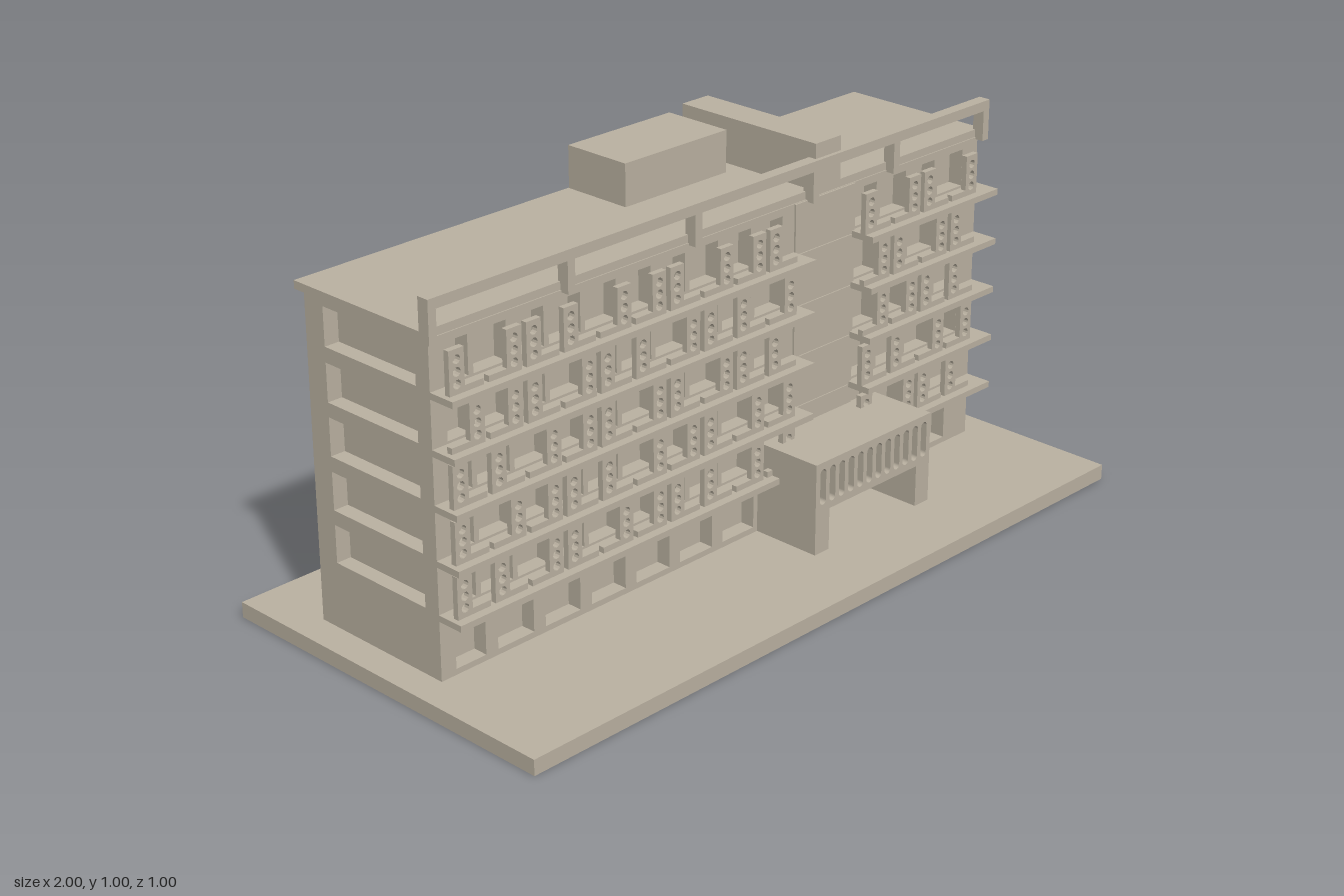
import * as THREE from 'three';

const stone = new THREE.MeshStandardMaterial({ color: 0xbab1a1 });
stone.name = 'warm grey stone';

// Closed rectangle path from two corners
function rect(Type, x0, y0, x1, y1) {
  const p = new Type();
  p.moveTo(x0, y0);
  p.lineTo(x1, y0);
  p.lineTo(x1, y1);
  p.lineTo(x0, y1);
  p.closePath();
  return p;
}

// Upright slot with rounded ends
function slot(cx, y0, y1, r) {
  const p = new THREE.Path();
  p.absarc(cx, y1 - r, r, 0, Math.PI, false);
  p.absarc(cx, y0 + r, r, Math.PI, Math.PI * 2, false);
  p.closePath();
  return p;
}

function extrude(shape, depth, curveSegments = 8) {
  return new THREE.ExtrudeGeometry(shape, { depth, bevelEnabled: false, curveSegments });
}

export function createModel() {
  const model = new THREE.Group();
  model.name = 'apartmentBlock';

  function add(name, geometry, x = 0, y = 0, z = 0) {
    const mesh = new THREE.Mesh(geometry, stone);
    mesh.name = name;
    mesh.position.set(x, y, z);
    model.add(mesh);
    return mesh;
  }
  // Box given by its extents
  function box(name, x0, x1, y0, y1, z0, z1) {
    return add(name, new THREE.BoxGeometry(x1 - x0, y1 - y0, z1 - z0),
      (x0 + x1) / 2, (y0 + y1) / 2, (z0 + z1) / 2);
  }

  const left = -0.92, right = 0.915, front = 0.115, back = -0.298;
  const ground = 0.04, eaves = 0.862, recess = 0.04;
  const floors = [0.74, 0.606, 0.474, 0.34, 0.207];
  const bayWidth = 0.096, pitch = 0.1105;

  // Bay start positions on both sides of the stair panel
  const bays = [];
  for (let i = 0; i < 10; i++) bays.push(-0.907 + i * pitch);
  for (let i = 0; i < 4; i++) bays.push(0.76 - (3 - i) * pitch);

  // Ground plate and building core
  box('groundPlate', -1, 1, 0, ground, -0.5, 0.5);
  box('core', left + recess, right, ground, eaves, back, front - recess);

  // Front wall with window recesses
  const facade = rect(THREE.Shape, left + recess, ground, right, eaves);
  for (const y of floors) {
    for (const x of bays) {
      facade.holes.push(rect(THREE.Path, Math.max(x, left + recess + 0.004), y + 0.006, x + bayWidth, y + 0.102));
    }
  }
  for (let i = 0; i < 12; i++) {
    if (i > 6 && i < 10) continue;
    const x = -0.897 + i * 0.1463;
    facade.holes.push(rect(THREE.Path, Math.max(x, left + recess + 0.004), 0.055, x + 0.11, 0.16));
  }
  add('frontWall', extrude(facade, recess), 0, 0, front - recess);

  // Right-hand end wall with long window recesses
  const endWall = rect(THREE.Shape, back, ground, front, eaves);
  for (const y of floors) endWall.holes.push(rect(THREE.Path, -0.235, y + 0.002, 0.07, y + 0.098));
  const endGeometry = extrude(endWall, recess);
  endGeometry.rotateY(-Math.PI / 2);
  add('endWall', endGeometry, left + recess);

  // Balcony slabs
  for (const y of floors) {
    box('balconySlabWest', left, 0.225, y - 0.016, y, front, 0.187);
    box('balconySlabEast', 0.43, right, y - 0.016, y, front, 0.187);
  }

  // Pierced screens, each beside a low kerb; L or R is the screen's side
  const screenShape = rect(THREE.Shape, 0, 0, 0.043, 0.105);
  for (const y of [0.023, 0.052, 0.081]) {
    const hole = new THREE.Path();
    hole.absarc(0.0215, y, 0.011, 0, Math.PI * 2, true);
    screenShape.holes.push(hole);
  }
  const screenGeometry = extrude(screenShape, 0.015, 6);
  const layouts = ['LRLLRRLRRLLRLR', 'RRLRLLRLLRRLRL', 'LLRRLRLRLLRRLL', 'LRRLLRRLRRLLRR', 'LLRLRRLLRRLRLL'];
  floors.forEach((y, row) => {
    bays.forEach((x, i) => {
      const onLeft = layouts[row][i] === 'L';
      add('piercedScreen', screenGeometry, onLeft ? x : x + bayWidth - 0.043, y, 0.149);
      const kerb = onLeft ? x + 0.043 : x;
      box('balconyKerb', kerb, kerb + bayWidth - 0.043, y, y + 0.015, 0.149, 0.164);
    });
  });

  // Plain stair panel, one plate per storey
  const levels = [0.28, 0.332, 0.466, 0.598, 0.732, eaves];
  for (let i = 0; i < 5; i++) {
    box('stairPanel', 0.225, 0.44, levels[i] + 0.001, levels[i + 1] - 0.001, front, front + 0.005);
  }

  // Entrance porch: open gateway with slotted front
  const porch = new THREE.Shape();
  [[0.105, 0.04], [0.155, 0.04], [0.155, 0.15], [0.48, 0.15], [0.48, 0.04], [0.53, 0.04], [0.53, 0.28], [0.105, 0.28]]
    .forEach(([x, y], i) => (i ? porch.lineTo(x, y) : porch.moveTo(x, y)));
  porch.closePath();
  add('porchBody', extrude(porch, 0.17), 0, 0, front);
  const porchFront = porch.clone();
  for (let i = 0; i < 12; i++) porchFront.holes.push(slot(0.1305 + i * 0.0341, 0.168, 0.262, 0.0105));
  add('porchFront', extrude(porchFront, 0.02), 0, 0, 0.285);

  // Roof slab, plant room and stair spine running down the back
  box('roofSlab', -0.935, 0.93, eaves, 0.882, -0.312, 0.112);
  box('plantRoom', -0.107, 0.235, 0.882, 0.99, -0.31, -0.118);
  box('roofSpine', 0.285, 0.375, 0.882, 1, -0.314, 0.126);
  box('backSpine', 0.285, 0.375, ground, 0.882, -0.314, back);

  // Rooftop frame along the front edge
  box('frameBeam', -0.935, 0.93, 0.936, 0.962, 0.105, 0.137);
  for (const x of [-0.924, -0.524, -0.124, 0.278, 0.572, 0.919]) {
    box('framePost', x - 0.011, x + 0.011, 0.857, 0.936, 0.105, 0.137);
  }

  return model;
}
